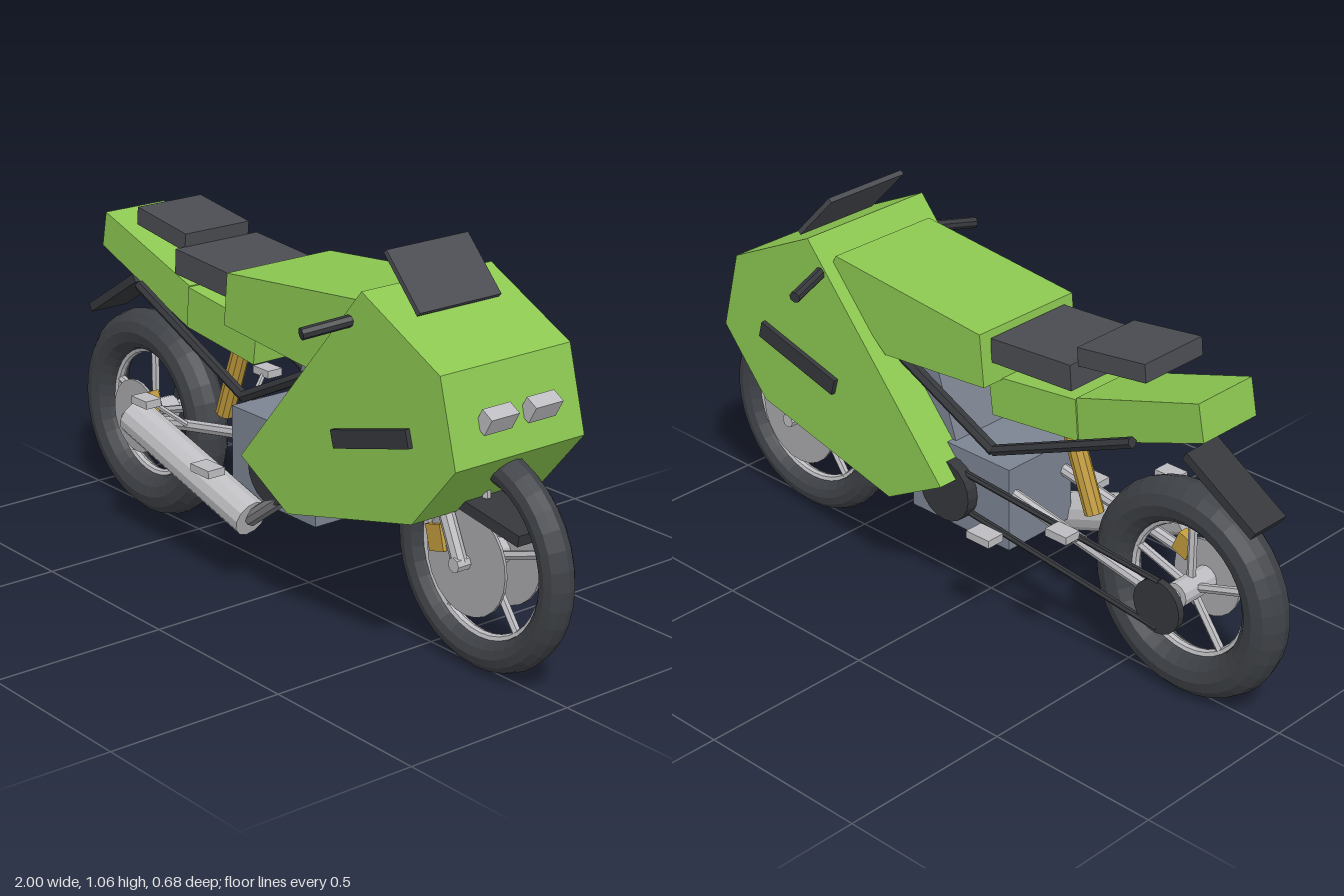
import * as THREE from 'three';

const mat = (name, color) => {
  const m = new THREE.MeshStandardMaterial({ color, flatShading: true });
  m.name = name;
  return m;
};

export function createModel() {
  const bike = new THREE.Group();
  bike.name = 'motorcycle';
  const green = mat('green paint', 0x8cc751);
  const rubber = mat('tyre rubber', 0x3e4146);
  const black = mat('black trim', 0x35373b);
  const vinyl = mat('seat vinyl', 0x4a4c52);
  const engineGrey = mat('engine grey', 0x7c8492);
  const silver = mat('silver metal', 0xbdbdc1);
  const steel = mat('disc steel', 0xa8a8ac);
  const gold = mat('gold metal', 0xc09a3c);
  const pipeGrey = mat('pipe grey', 0x76777b);

  const add = (name, geo, material, x = 0, y = 0, z = 0, parent = bike) => {
    const m = new THREE.Mesh(geo, material);
    m.name = name;
    m.position.set(x, y, z);
    parent.add(m);
    return m;
  };
  const box = (name, material, w, h, d, x, y, z, tilt = 0) => {
    const m = add(name, new THREE.BoxGeometry(w, h, d), material, x, y, z);
    m.rotation.z = tilt;
    return m;
  };
  // Side outline given as [x, y] pairs, extruded evenly across z
  const slab = (name, material, halfWidth, points) => {
    const shape = new THREE.Shape(points.map(p => new THREE.Vector2(p[0], p[1])));
    const geo = new THREE.ExtrudeGeometry(shape, { depth: halfWidth * 2, bevelEnabled: false });
    return add(name, geo.translate(0, 0, -halfWidth), material);
  };
  // Round bar between two points
  const bar = (name, material, a, b, r, sides = 8, parent = bike) => {
    const A = new THREE.Vector3(...a), B = new THREE.Vector3(...b);
    const m = add(name, new THREE.CylinderGeometry(r, r, A.distanceTo(B), sides), material, 0, 0, 0, parent);
    m.position.copy(A).add(B).multiplyScalar(0.5);
    m.quaternion.setFromUnitVectors(new THREE.Vector3(0, 1, 0), B.sub(A).normalize());
    return m;
  };
  // Disc whose axis runs along z
  const disc = (name, material, r, thick, x, y, z, sides = 24, parent = bike) =>
    add(name, new THREE.CylinderGeometry(r, r, thick, sides).rotateX(Math.PI / 2), material, x, y, z, parent);

  // Wheels
  const wheel = (name, x, tube) => {
    const g = new THREE.Group();
    g.name = name;
    g.position.set(x, 0.302, 0);
    bike.add(g);
    const R = 0.302 - tube;
    add('tyre', new THREE.TorusGeometry(R, tube, 12, 36), rubber, 0, 0, 0, g);
    add('rim', new THREE.TorusGeometry(R - tube + 0.004, 0.014, 8, 36), silver, 0, 0, 0, g);
    disc('hub', silver, 0.035, 0.12, 0, 0, 0, 12, g);
    for (let i = 0; i < 5; i++) {
      const a = Math.PI / 2 + i * Math.PI * 0.4;
      bar('spoke', silver, [0, 0, 0], [Math.cos(a) * (R - tube), Math.sin(a) * (R - tube), 0], 0.012, 6, g);
    }
    return g;
  };
  wheel('rearWheel', -0.698, 0.06);
  wheel('frontWheel', 0.695, 0.045);

  // Bodywork
  slab('fairing', green, 0.212, [[0.465, 0.97], [-0.02, 0.41], [0.175, 0.305], [0.66, 0.425], [0.815, 0.605], [0.755, 0.83]]);
  slab('tank', green, 0.173, [[-0.14, 0.73], [0.22, 0.70], [0.425, 0.88], [0.40, 0.927], [-0.125, 0.875]]);
  slab('tailUnit', green, 0.10, [[-0.80, 0.79], [-0.40, 0.645], [-0.39, 0.765], [-0.78, 0.89]]);
  slab('sidePanel', green, 0.104, [[-0.40, 0.648], [-0.105, 0.615], [-0.09, 0.727], [-0.39, 0.762]]);
  slab('seat', vinyl, 0.137, [[-0.405, 0.803], [-0.13, 0.788], [-0.13, 0.855], [-0.40, 0.873]]);
  slab('rearSeat', vinyl, 0.107, [[-0.62, 0.89], [-0.40, 0.86], [-0.395, 0.91], [-0.615, 0.94]]);
  box('windshield', vinyl, 0.182, 0.014, 0.266, 0.522, 0.99, 0, -0.805);
  box('rearFender', black, 0.262, 0.025, 0.12, -0.82, 0.637, 0, 0.56);
  box('frontFender', black, 0.215, 0.03, 0.13, 0.775, 0.43, 0, -0.16);

  // Engine
  box('engineBlock', engineGrey, 0.355, 0.24, 0.24, -0.002, 0.365, 0);
  box('engineCylinder', engineGrey, 0.20, 0.28, 0.20, 0.15, 0.517, 0, -0.33);
  bar('shock', gold, [-0.27, 0.65, 0], [-0.37, 0.385, 0], 0.027, 10);

  // Exhaust on the right-hand side
  bar('muffler', silver, [-0.54, 0.37, 0.183], [-0.055, 0.207, 0.153], 0.053, 12);
  bar('exhaustPipe', pipeGrey, [-0.06, 0.205, 0.153], [0.12, 0.345, 0.12], 0.022, 8);

  // Parts mirrored on both sides
  for (const s of [1, -1]) {
    disc('engineCover', black, 0.09, 0.05, 0.025, 0.362, s * 0.13, 20);
    bar('fork', silver, [0.695, 0.302, s * 0.083], [0.44, 0.87, s * 0.083], 0.021);
    disc('frontBrakeDisc', steel, 0.143, 0.008, 0.695, 0.302, s * 0.06);
    box('frontCaliper', gold, 0.055, 0.07, 0.03, 0.59, 0.335, s * 0.06, 0.25);
    bar('swingarm', silver, [-0.70, 0.305, s * 0.095], [-0.13, 0.41, s * 0.095], 0.017);
    bar('rearFrameRail', black, [-0.595, 0.725, s * 0.122], [-0.125, 0.525, s * 0.122], 0.015, 6);
    bar('frontFrameRail', black, [-0.125, 0.525, s * 0.122], [0.26, 0.71, s * 0.122], 0.017, 6);
    bar('handlebar', black, [0.44, 0.895, s * 0.14], [0.385, 0.867, s * 0.335], 0.016);
    box('sideVent', black, 0.295, 0.048, 0.016, 0.512, 0.607, s * 0.218, 0.27);
    box('headlight', silver, 0.04, 0.052, 0.09, 0.805, 0.707, s * 0.072, -0.52);
    box('rearFootpeg', silver, 0.07, 0.022, 0.05, -0.448, 0.445, s * 0.21);
    box('frontFootpeg', silver, 0.08, 0.022, 0.055, -0.175, 0.325, s * 0.207);
    bar('footpegBracket', silver, [-0.448, 0.445, s * 0.20], [-0.40, 0.36, s * 0.10], 0.008, 6);
  }

  // Rear brake
  disc('rearBrakeDisc', steel, 0.107, 0.008, -0.698, 0.302, 0.066);
  box('rearCaliper', gold, 0.05, 0.06, 0.03, -0.62, 0.365, 0.07, 0.4);

  // Chain drive on the left-hand side
  disc('sprocket', black, 0.075, 0.02, -0.698, 0.302, -0.125, 20);
  for (const s of [1, -1])
    bar('chain', black, [-0.70, 0.305 + s * 0.068, -0.128], [0, 0.37 + s * 0.055, -0.128], 0.009, 6);
  bar('axle', silver, [-0.698, 0.302, -0.11], [-0.698, 0.302, 0.11], 0.018);
  bar('frontAxle', silver, [0.695, 0.302, -0.105], [0.695, 0.302, 0.105], 0.02);

  return bike;
}
